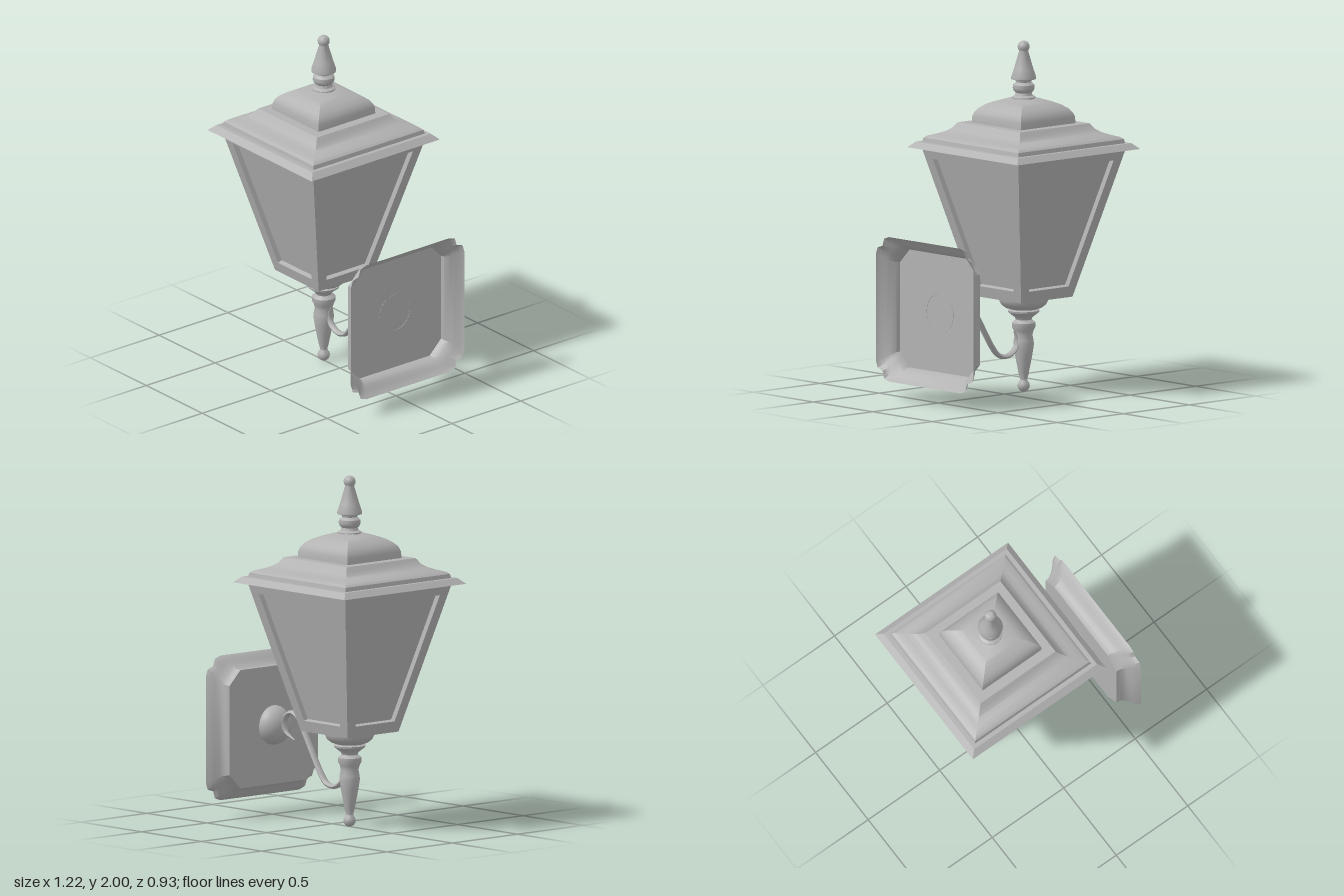
import * as THREE from 'three';
import { toCreasedNormals } from 'three/addons/utils/BufferGeometryUtils.js';

const metal = new THREE.MeshStandardMaterial({ color: 0xb2b2b2, side: THREE.DoubleSide });
metal.name = 'grey metal';

const CX = -0.145; // lantern axis
const PLATE_Y = 0.51; // wall plate centre height

function addMesh(parent, name, geometry) {
  const mesh = new THREE.Mesh(geometry, metal);
  mesh.name = name;
  parent.add(mesh);
  return mesh;
}

// Skin between closed rings of [x, y, z] points, with optional flat end caps
function loft(rings, capStart, capEnd, crease = 0.6) {
  const pos = [];
  const tri = (a, b, c) => pos.push(...a, ...b, ...c);
  const n = rings[0].length;
  for (let r = 0; r < rings.length - 1; r++) {
    const a = rings[r], b = rings[r + 1];
    for (let i = 0; i < n; i++) {
      const j = (i + 1) % n;
      tri(a[i], a[j], b[j]);
      tri(a[i], b[j], b[i]);
    }
  }
  const first = rings[0], last = rings[rings.length - 1];
  for (let i = 1; i < n - 1; i++) {
    if (capStart) tri(first[0], first[i + 1], first[i]);
    if (capEnd) tri(last[0], last[i], last[i + 1]);
  }
  const g = new THREE.BufferGeometry();
  g.setAttribute('position', new THREE.Float32BufferAttribute(pos, 3));
  return toCreasedNormals(g, crease);
}

const square = ([h, y]) => [[h, y, h], [h, y, -h], [-h, y, -h], [-h, y, h]];

function turned(profile, segments = 32) {
  const pts = profile.map(([r, y]) => new THREE.Vector2(r, y));
  return toCreasedNormals(new THREE.LatheGeometry(pts, segments), 0.7);
}

// Rounded knob profile from bottom to top
function ball(r, y, from = -1.0) {
  const pts = [];
  for (let i = 0; i <= 8; i++) {
    const a = from + (Math.PI / 2 - from) * i / 8;
    pts.push([Math.max(0, r * Math.cos(a)), y + r * Math.sin(a)]);
  }
  return pts;
}

// Square ring with cut corners lying across x; b bulges the corner shoulders
function plateRing(x, h, c, b) {
  const corner = [
    [h, h - c], [h - 0.25 * c + b, h - 0.75 * c + b], [h - 0.5 * c, h - 0.5 * c],
    [h - 0.75 * c + b, h - 0.25 * c + b], [h - c, h],
  ];
  const ring = [];
  for (let k = 0; k < 4; k++) {
    for (let [p, q] of corner) {
      for (let t = 0; t < k; t++) [p, q] = [-q, p];
      ring.push([x, PLATE_Y + q, -p]);
    }
  }
  return ring;
}

function buildLantern() {
  const lantern = new THREE.Group();
  lantern.name = 'lantern';
  lantern.position.x = CX;

  // Stepped square roof
  const roof = [
    [0.40, 1.387], [0.465, 1.387], [0.43, 1.42], [0.405, 1.42], [0.40, 1.443],
    [0.385, 1.455], [0.345, 1.468], [0.31, 1.482], [0.285, 1.5], [0.268, 1.525],
    [0.262, 1.532], [0.207, 1.532], [0.205, 1.568], [0.197, 1.592], [0.18, 1.615],
    [0.15, 1.638], [0.115, 1.655], [0.06, 1.675],
  ];
  addMesh(lantern, 'roof', loft(roof.map(square), true, true));

  // Four tapered sides, each a frame with a recessed pane
  const [yb, yt, hb, ht] = [0.543, 1.387, 0.195, 0.407];
  const slope = (ht - hb) / (yt - yb);
  const len = Math.hypot(1, slope);
  const face = (w0, y0, w1, y1, depth) =>
    [[-w0, y0], [w0, y0], [w1, y1], [-w1, y1]].map(([x, y]) => [
      x, y + depth * slope / len, hb + (y - yb) * slope - depth / len,
    ]);
  const side = loft([
    face(hb, yb, ht, yt, 0),
    face(0.15, 0.607, 0.33, 1.328, 0),
    face(0.15, 0.607, 0.33, 1.328, 0.03),
  ], false, true, 0.3);
  for (let k = 0; k < 4; k++) addMesh(lantern, 'sidePanel', side).rotation.y = k * Math.PI / 2;
  const floor = new THREE.PlaneGeometry(2 * hb, 2 * hb).rotateX(Math.PI / 2).translate(0, yb, 0);
  addMesh(lantern, 'lanternFloor', floor);

  // Turned ornaments above and below
  addMesh(lantern, 'topFinial', turned([
    [0.068, 1.665], [0.068, 1.68], [0.05, 1.69], [0.045, 1.705], [0.056, 1.715],
    [0.062, 1.73], [0.06, 1.75], [0.042, 1.765], [0.045, 1.775], [0.07, 1.782],
    [0.07, 1.795], [0.055, 1.84], [0.026, 1.94], ...ball(0.034, 1.966, -0.7),
  ]));
  addMesh(lantern, 'bottomFinial', turned([
    ...ball(0.035, 0.035, -Math.PI / 2).slice(0, 7), [0.02, 0.07], [0.028, 0.1], [0.05, 0.215],
    [0.058, 0.27], [0.056, 0.295], [0.05, 0.325], [0.056, 0.35], [0.066, 0.37],
    [0.066, 0.395], [0.045, 0.412], [0.05, 0.425], [0.088, 0.455], [0.09, 0.465],
    [0.075, 0.472], [0.105, 0.482], [0.128, 0.5], [0.142, 0.528], [0.143, 0.545],
  ]));
  return lantern;
}

// Curled arm: a flattened tube that thins towards both tips
function buildArm() {
  const path = [
    [-0.075, 0.35], [-0.092, 0.3], [-0.085, 0.258], [-0.05, 0.225], [0, 0.213],
    [0.05, 0.228], [0.1, 0.285], [0.175, 0.405], [0.245, 0.52], [0.285, 0.578],
    [0.33, 0.597], [0.375, 0.58], [0.4, 0.53], [0.383, 0.48], [0.32, 0.445],
  ];
  const curve = new THREE.CatmullRomCurve3(path.map(([x, y]) => new THREE.Vector3(x, y, 0)));
  const steps = 60, sides = 8;
  const g = new THREE.TubeGeometry(curve, steps, 0.014, sides, false);
  const p = g.attributes.position, v = new THREE.Vector3();
  for (let i = 0; i < p.count; i++) {
    const t = Math.floor(i / (sides + 1)) / steps;
    const c = curve.getPointAt(t);
    const s = Math.min(1, 0.3 + 6 * Math.min(t, 1 - t));
    v.fromBufferAttribute(p, i).sub(c).multiplyScalar(s);
    p.setXYZ(i, c.x + v.x, c.y + v.y, v.z * 1.5);
  }
  return toCreasedNormals(g, 0.9);
}

export function createModel() {
  const model = new THREE.Group();
  model.name = 'wallLantern';
  model.add(buildLantern());
  addMesh(model, 'arm', buildArm());

  // Hollow wall plate, open towards the wall
  addMesh(model, 'wallPlate', loft([
    plateRing(0.488, 0.337, 0.082, 0),
    plateRing(0.512, 0.34, 0.082, 0),
    plateRing(0.54, 0.355, 0.09, 0.003),
    plateRing(0.565, 0.378, 0.1, 0.008),
    plateRing(0.585, 0.4, 0.108, 0.012),
    plateRing(0.605, 0.412, 0.112, 0.014),
  ], true, false));

  // Domed boss where the arm meets the plate
  const dome = new THREE.SphereGeometry(0.112, 32, 12, 0, Math.PI * 2, 0, Math.PI / 2);
  dome.scale(1, 0.83, 1).rotateZ(Math.PI / 2).translate(0.49, PLATE_Y, 0);
  addMesh(model, 'boss', dome);
  return model;
}
